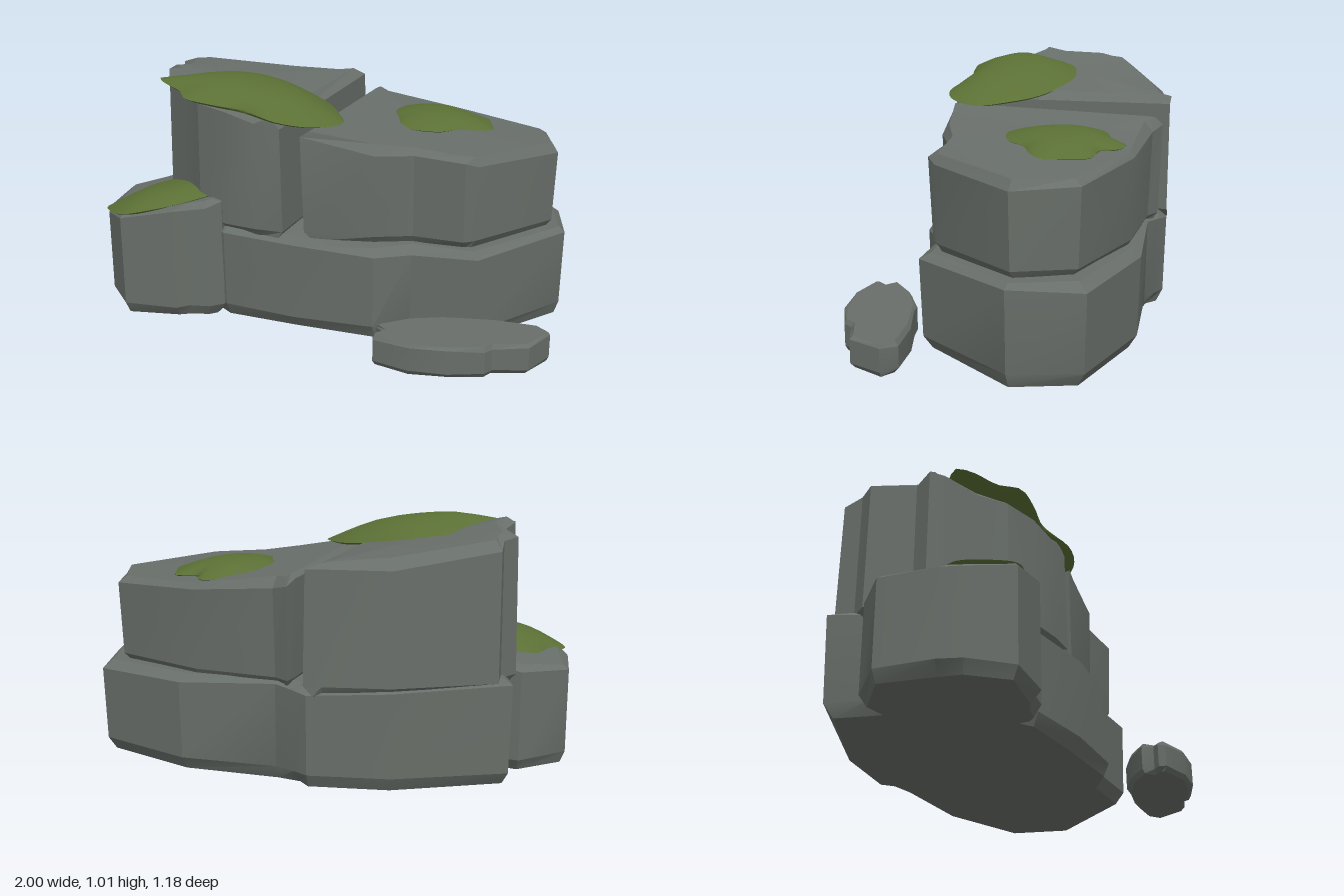
import * as THREE from 'three';
import { toCreasedNormals } from 'three/addons/utils/BufferGeometryUtils.js';

const ROCK = 0x686e69, MOSS = 0x5b7035;

// Builds one mesh from closed rings of points (bottom to top), capped at both ends
function loft(name, rings, crease, material) {
  const n = rings[0].length, pos = rings.flat(2), idx = [];
  for (let r = 0; r < rings.length - 1; r++) {
    for (let i = 0; i < n; i++) {
      const a = r * n + i, b = r * n + (i + 1) % n;
      idx.push(a, b, b + n, a, b + n, a + n);
    }
  }
  const cap = (ring, start, up) => {
    const m = pos.length / 3;
    pos.push(...[0, 1, 2].map(k => ring.reduce((s, p) => s + p[k], 0) / n));
    for (let i = 0; i < n; i++) {
      const a = start + i, b = start + (i + 1) % n;
      idx.push(m, ...(up ? [a, b] : [b, a]));
    }
  };
  cap(rings[rings.length - 1], (rings.length - 1) * n, true);
  cap(rings[0], 0, false);
  const g = new THREE.BufferGeometry();
  g.setAttribute('position', new THREE.Float32BufferAttribute(pos, 3));
  g.setIndex(idx);
  const mesh = new THREE.Mesh(toCreasedNormals(g, crease), material);
  mesh.name = name;
  return mesh;
}

// Moves an [x, z] outline inwards, with a little unevenness per corner
function inset(outline, d) {
  const n = outline.length;
  return outline.map(([x, z], i) => {
    const p = outline[(i + n - 1) % n], q = outline[(i + 1) % n];
    const dx = q[0] - p[0], dz = q[1] - p[1], l = Math.hypot(dx, dz);
    const k = d * (1 + 0.35 * Math.sin(i * 2.3 + 1));
    return [x + dz / l * k, z - dx / l * k];
  });
}

// Rock: chamfered foot, sides leaning in by taper towards the foot, chamfered sloping top
function rock(name, outline, { y0, top, foot = 0.04, footIn = 0.03, edge = 0.03, edgeIn = 0.03, taper = 0 }) {
  const rings = [
    inset(outline, footIn + taper).map(([x, z]) => [x, y0, z]),
    inset(outline, taper).map(([x, z]) => [x, y0 + foot, z]),
    outline.map(([x, z], i) => [x, top(x, z) - edge * (1 + 0.4 * Math.sin(i * 1.7)), z]),
    inset(outline, edgeIn).map(([x, z]) => [x, top(x, z), z]),
  ];
  return loft(name, rings, 0.35, new THREE.MeshStandardMaterial({ color: ROCK }));
}

// Moss: a lobed cushion lying on a slope, its lobes fading towards the middle
function moss(name, outline, plane, height) {
  const N = 56, W = 7;
  const rim = new THREE.CatmullRomCurve3(
    outline.map(([x, z]) => new THREE.Vector3(x, 0, z)), true).getSpacedPoints(N).slice(0, N);
  const centre = new THREE.Vector3();
  rim.forEach(p => centre.addScaledVector(p, 1 / N));
  const soft = rim.map((_, i) => {
    const s = new THREE.Vector3();
    for (let k = -W; k <= W; k++) s.addScaledVector(rim[(i + k + N) % N], 1 / (2 * W + 1));
    return s;
  });
  const ring = (t, h) => rim.map((p, i) => {
    const q = soft[i].clone().lerp(p, t ** 4).sub(centre).multiplyScalar(t).add(centre);
    return [q.x, plane(q.x, q.z) + h, q.z];
  });
  const rings = [ring(0.75, -0.014), ring(0.96, -0.01)];
  for (const t of [1, 0.97, 0.88, 0.75, 0.55, 0.3, 0.1]) rings.push(ring(t, height * (1 - t ** 3)));
  return loft(name, rings, 1, new THREE.MeshStandardMaterial({ color: MOSS }));
}

export function createModel() {
  const group = new THREE.Group();

  // Wide slab underneath, notched at the back
  group.add(rock('baseRock', [
    [-0.72, 0.12], [-0.5, 0.3], [-0.37, 0.37], [-0.05, 0.39], [0.29, 0.35], [0.42, 0.26], [0.69, 0.24],
    [0.95, -0.18], [0.87, -0.46], [0.45, -0.575], [0.05, -0.53], [-0.03, -0.56], [-0.1, -0.585],
    [-0.42, -0.51], [-0.84, -0.29], [-0.78, -0.12],
  ], {
    y0: 0, foot: 0.055, footIn: 0.03, edge: 0.025, edgeIn: 0.04, taper: 0.008,
    top: (x, z) => 0.415 - 0.02 * x - 0.05 * Math.max(0, z),
  }));

  // Two blocks resting on the slab with a cleft between them
  group.add(rock('upperTallRock', [
    [-0.72, 0.15], [-0.6, 0.23], [-0.5, 0.31], [-0.36, 0.35], [-0.22, 0.365], [-0.11, 0.36],
    [-0.1, -0.585], [-0.16, -0.57], [-0.42, -0.5], [-0.78, -0.29], [-0.77, -0.21], [-0.81, -0.14],
    [-0.72, 0.02], [-0.75, 0.1],
  ], {
    y0: 0.38, taper: -0.008, edge: 0.03, edgeIn: 0.045,
    top: (x, z) => 0.895 - (x + 0.11) * (0.2 - (z < 0.08 ? 0.25 : 0.38) * Math.abs(z - 0.08)),
  }));
  group.add(rock('upperLowRock', [
    [-0.03, 0.34], [0.27, 0.29], [0.41, 0.22], [0.62, 0.22], [0.66, 0.18], [0.9, -0.18],
    [0.8, -0.42], [0.4, -0.53], [0.05, -0.54], [-0.02, -0.57], [-0.03, -0.5],
  ], {
    y0: 0.385, taper: 0.01, edge: 0.03, edgeIn: 0.03,
    top: (x, z) => 0.768 + 0.085 * (1 - x / 0.9) ** 2 - 0.04 * Math.max(0, -z),
  }));

  // Round boulder leaning at the side
  group.add(rock('sideBoulder', [
    [-0.96, 0.29], [-0.92, 0.38], [-0.78, 0.51], [-0.55, 0.475], [-0.51, 0.43], [-0.43, 0.41],
    [-0.38, 0.36], [-0.4, 0.1], [-0.6, -0.1], [-0.84, -0.115], [-1, 0.06],
  ], { y0: 0, top: x => 0.415 + 0.185 * (x + 1), foot: 0.05, edge: 0.02, edgeIn: 0.035 }));

  // Low stepping stone in front
  group.add(rock('flatStone', [
    [0.36, 0.54], [0.37, 0.57], [0.52, 0.595], [0.67, 0.57], [0.8, 0.51], [0.82, 0.47], [0.95, 0.42],
    [1, 0.28], [0.94, 0.23], [0.78, 0.245], [0.63, 0.29], [0.57, 0.3], [0.45, 0.37], [0.35, 0.47], [0.385, 0.51],
  ], { y0: 0.01, top: x => 0.145 - 0.01 * x, foot: 0.02, footIn: 0.015, edge: 0.015, edgeIn: 0.012 }));

  // Moss patches
  group.add(moss('tallRockMoss', [
    [-0.73, 0.21], [-0.68, 0.26], [-0.58, 0.31], [-0.52, 0.38], [-0.4, 0.375], [-0.28, 0.35], [-0.1, 0.385], [0.03, 0.33],
    [0.1, 0.2], [0.03, 0.08], [-0.05, -0.01], [-0.16, -0.07], [-0.35, -0.125], [-0.48, -0.1], [-0.56, -0.05],
    [-0.6, 0.06], [-0.68, 0.14],
  ], x => 0.875 - 0.14 * x, 0.075));
  group.add(moss('lowRockMoss', [
    [0.25, -0.04], [0.33, -0.005], [0.43, -0.04], [0.49, -0.12], [0.57, -0.16], [0.615, -0.22], [0.58, -0.32],
    [0.55, -0.39], [0.43, -0.41], [0.41, -0.465], [0.34, -0.49], [0.27, -0.42], [0.2, -0.4], [0.165, -0.35],
    [0.155, -0.21], [0.22, -0.11],
  ], (x, z) => 0.828 - 0.07 * x + 0.04 * z, 0.045));
  group.add(moss('boulderMoss', [
    [-0.94, 0.35], [-0.87, 0.44], [-0.77, 0.5], [-0.64, 0.465], [-0.52, 0.39], [-0.42, 0.25],
    [-0.5, 0.12], [-0.6, 0.07], [-0.72, 0.04], [-0.8, 0.07], [-0.87, 0.13], [-0.89, 0.24],
  ], x => 0.418 + 0.21 * (x + 0.94), 0.052));

  return group;
}
